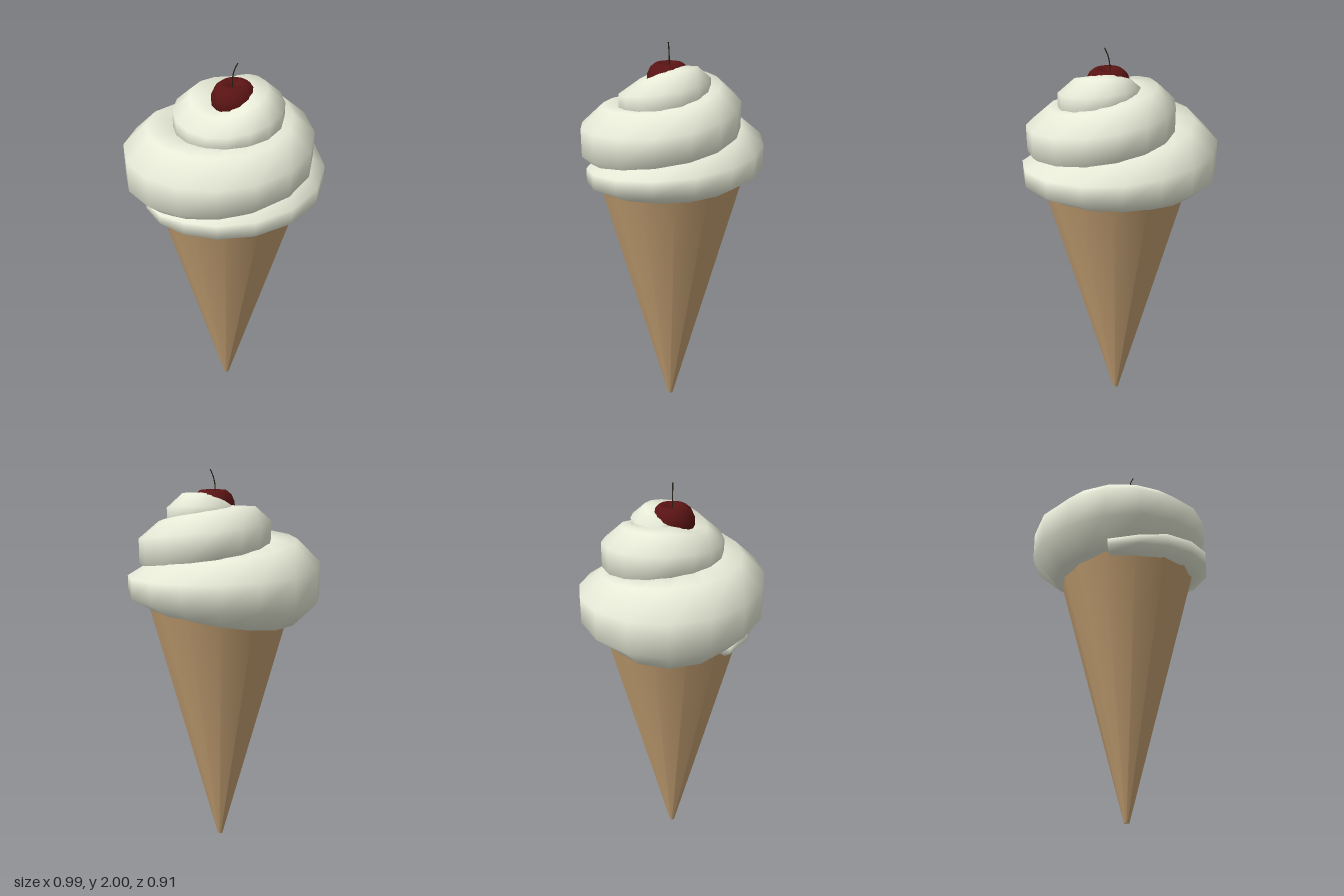
import * as THREE from 'three';

// Whipped swirl stations, one per row: turn in degrees (0 = front, 90 = +x),
// outer radius, centre height, half width, half height
const SWIRL = [
  [-45, 0.40, 1.30, 0.06, 0.04],
  [0, 0.41, 1.34, 0.14, 0.08],
  [90, 0.485, 1.42, 0.17, 0.10],
  [180, 0.46, 1.45, 0.19, 0.14],
  [270, 0.50, 1.455, 0.20, 0.20],
  [360, 0.45, 1.51, 0.19, 0.175],
  [450, 0.43, 1.58, 0.18, 0.15],
  [540, 0.345, 1.66, 0.17, 0.15],
  [630, 0.28, 1.70, 0.14, 0.13],
  [720, 0.25, 1.70, 0.14, 0.10],
  [810, 0.245, 1.75, 0.14, 0.125],
  [900, 0.20, 1.80, 0.11, 0.09],
  [990, 0.14, 1.80, 0.07, 0.04],
];

// Smooth interpolation of one swirl column at a given turn
function station(turn, col) {
  const n = SWIRL.length - 1;
  let k = 0;
  while (k < n - 1 && SWIRL[k + 1][0] < turn) k++;
  const t = (turn - SWIRL[k][0]) / (SWIRL[k + 1][0] - SWIRL[k][0]);
  const v = (i) => SWIRL[Math.min(n, Math.max(0, i))][col];
  const a = v(k), b = v(k + 1);
  const m0 = (b - v(k - 1)) / 2, m1 = (v(k + 2) - a) / 2;
  return a + m0 * t + (3 * (b - a) - 2 * m0 - m1) * t * t + (2 * (a - b) + m0 + m1) * t * t * t;
}

// Eight-sided tube swept round the spiral, closed to a point at both ends
function swirlGeometry() {
  const sides = 8, step = 22.5;
  const first = SWIRL[0][0], last = SWIRL[SWIRL.length - 1][0];
  const rows = Math.round((last - first) / step);
  const pos = [], index = [];
  const flat = Math.cos(Math.PI / sides);
  for (let i = -1; i <= rows + 1; i++) {
    const turn = first + Math.min(rows, Math.max(0, i)) * step;
    const size = i < 0 || i > rows ? 0 : 1;
    const [outer, y, w, h] = [1, 2, 3, 4].map((c) => station(turn, c));
    const cx = 0.06 * Math.max(0, (turn - 360) / 630);
    const phi = THREE.MathUtils.degToRad(turn);
    for (let j = 0; j < sides; j++) {
      const a = ((j + 0.5) / sides) * Math.PI * 2;
      const r = outer - w + (size * w * Math.cos(a)) / flat;
      pos.push(cx + r * Math.sin(phi), y + (size * h * Math.sin(a)) / flat, r * Math.cos(phi));
    }
  }
  for (let i = 0; i < rows + 2; i++) {
    for (let j = 0; j < sides; j++) {
      const a = i * sides + j, b = i * sides + ((j + 1) % sides);
      index.push(a, a + sides, b + sides, a, b + sides, b);
    }
  }
  const geo = new THREE.BufferGeometry();
  geo.setAttribute('position', new THREE.Float32BufferAttribute(pos, 3));
  geo.setIndex(index);
  geo.computeVertexNormals();
  return geo;
}

export function createModel() {
  const group = new THREE.Group();
  const add = (name, geometry, color, x = 0, y = 0) => {
    const mesh = new THREE.Mesh(geometry, new THREE.MeshStandardMaterial({ color }));
    mesh.name = name;
    mesh.position.set(x, y, 0);
    group.add(mesh);
    return mesh;
  };

  // Wafer cone, its rim buried in the cream
  add('cone', new THREE.CylinderGeometry(0.372, 0.013, 1.36, 14), 0xc39f72, 0.015, 0.68);

  // Whipped cream
  add('creamSwirl', swirlGeometry(), 0xe8ebd8);

  // Cherry with a dimple on top
  const cherryProfile = [
    [0, -0.1], [0.05, -0.09], [0.09, -0.055], [0.108, -0.005], [0.106, 0.035],
    [0.09, 0.07], [0.065, 0.09], [0.04, 0.09], [0.02, 0.075], [0, 0.06],
  ].map(([r, y]) => new THREE.Vector2(r, y));
  add('cherry', new THREE.LatheGeometry(cherryProfile, 16), 0x5a1414, 0.05, 1.81);

  // Thin curved stem
  const stemPath = new THREE.CatmullRomCurve3([
    new THREE.Vector3(0.04, 1.86, 0),
    new THREE.Vector3(0.04, 1.92, 0),
    new THREE.Vector3(0.048, 1.96, 0),
    new THREE.Vector3(0.066, 2.0, 0),
  ]);
  add('cherryStem', new THREE.TubeGeometry(stemPath, 8, 0.003, 5), 0x2a2418);

  return group;
}
